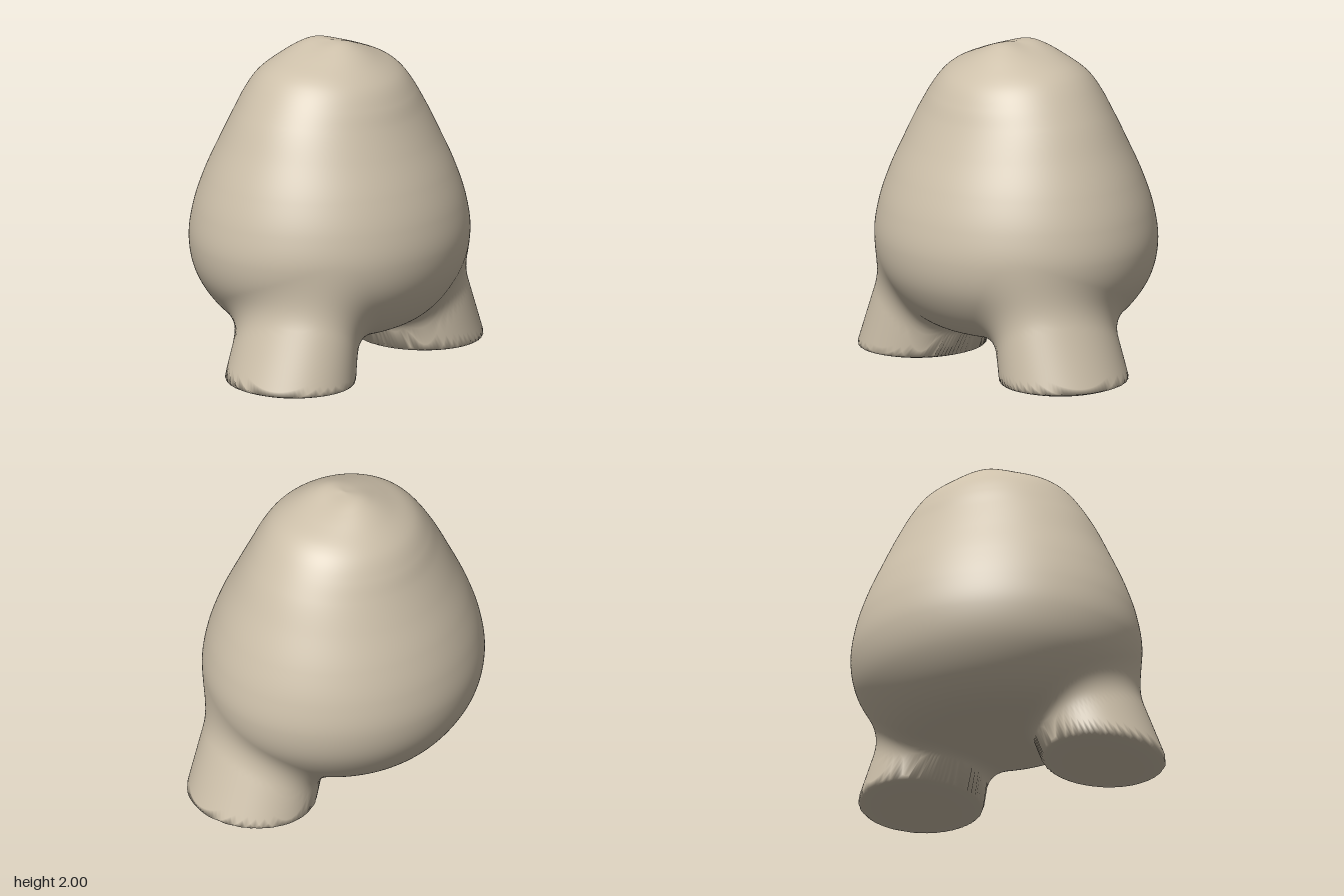
import * as THREE from 'three';

const CENTRE_Y = 1.25;
const STEPS = 720;

// Half outlines of the torso, [radius, height] from crown to belly
const SIDE_TO_SIDE = [[0, 2], [0.1, 1.98], [0.27, 1.92], [0.4, 1.86], [0.48, 1.79], [0.61, 1.6], [0.71, 1.4],
  [0.8, 1.2], [0.865, 1], [0.89, 0.8], [0.845, 0.6], [0.7, 0.4], [0.55, 0.3], [0.27, 0.245], [0, 0.23]];
const FRONT_TO_BACK = [[0, 2], [0.12, 1.997], [0.2, 1.965], [0.3, 1.9], [0.43, 1.79], [0.5, 1.68], [0.55, 1.57],
  [0.63, 1.4], [0.72, 1.2], [0.785, 1], [0.81, 0.8], [0.77, 0.6], [0.64, 0.4], [0.5, 0.3], [0.25, 0.245], [0, 0.23]];

// Smooth an outline and tabulate its distance from the centre by polar angle
function polarTable(outline) {
  const curve = new THREE.CatmullRomCurve3(outline.map(([r, y]) => new THREE.Vector3(r, y, 0)));
  const polar = curve.getPoints(400).map((p) => {
    const x = Math.max(p.x, 0);
    return [Math.atan2(x, p.y - CENTRE_Y), Math.hypot(x, p.y - CENTRE_Y)];
  });
  const table = [];
  let j = 0;
  for (let i = 0; i <= STEPS; i++) {
    const angle = (i / STEPS) * Math.PI;
    while (j < polar.length - 2 && polar[j + 1][0] < angle) j++;
    const [a0, r0] = polar[j];
    const [a1, r1] = polar[j + 1];
    const t = a1 > a0 ? Math.min(1, Math.max(0, (angle - a0) / (a1 - a0))) : 0;
    table.push(r0 + (r1 - r0) * t);
  }
  return table;
}

function lookUp(table, angle) {
  const s = (angle / Math.PI) * STEPS;
  const i = Math.min(STEPS - 1, Math.floor(s));
  return table[i] + (table[i + 1] - table[i]) * (s - i);
}

function smoothMin(a, b, k) {
  const h = Math.max(k - Math.abs(a - b), 0);
  return Math.min(a, b) - (h * h) / (4 * k);
}

const smoothMax = (a, b, k) => -smoothMin(-a, -b, k);

const wide = polarTable(SIDE_TO_SIDE);
const deep = polarTable(FRONT_TO_BACK);

// Torso: egg with an oval plan
function torso(x, y, z) {
  const flat = Math.hypot(x, z);
  const angle = Math.atan2(flat, y - CENTRE_Y);
  const c = flat > 1e-9 ? x / flat : 1;
  const s = flat > 1e-9 ? z / flat : 0;
  const r = 1 / Math.hypot(c / lookUp(wide, angle), s / lookUp(deep, angle));
  return Math.hypot(flat, y - CENTRE_Y) - r;
}

// Leg: oval column leaning inward, with a slightly domed sole
function leg(x, y, z) {
  const h = y - 0.08;
  const rx = Math.max(0.365 - 0.13 * h, 0.1);
  const rz = Math.max(0.405 - 0.08 * h, 0.1);
  const rho = Math.hypot((x - 0.63 + 0.27 * h) / rx, (z - 0.185) / rz);
  const wall = (rho - 1) * 0.37;
  const sole = 0.065 * Math.min(rho, 1.5) ** 2 - y;
  return Math.max(smoothMax(wall, sole, 0.02), y - 0.75);
}

const field = (x, y, z) => smoothMin(torso(x, y, z), leg(Math.abs(x), y, z), 0.13);

// Pull each point of a sphere onto the blended torso and legs
function skinGeometry() {
  const geometry = new THREE.SphereGeometry(1, 256, 200);
  const pos = geometry.attributes.position;
  const nor = geometry.attributes.normal;
  const d = new THREE.Vector3();
  const n = new THREE.Vector3();
  const e = 0.006;
  for (let i = 0; i < pos.count; i++) {
    d.fromBufferAttribute(pos, i).normalize();
    const at = (r) => field(d.x * r, CENTRE_Y + d.y * r, d.z * r);
    let outer = 1.7;
    while (outer > 0.1 && at(outer - 0.03) > 0) outer -= 0.03;
    let inner = outer - 0.03;
    for (let k = 0; k < 14; k++) {
      const mid = (inner + outer) / 2;
      if (at(mid) > 0) outer = mid;
      else inner = mid;
    }
    const x = d.x * outer, y = CENTRE_Y + d.y * outer, z = d.z * outer;
    pos.setXYZ(i, x, y, z);
    n.set(
      field(x + e, y, z) - field(x - e, y, z),
      field(x, y + e, z) - field(x, y - e, z),
      field(x, y, z + e) - field(x, y, z - e)
    ).normalize();
    nor.setXYZ(i, n.x, n.y, n.z);
  }
  return geometry;
}

export function createModel() {
  const model = new THREE.Group();
  model.name = 'twoLeggedBody';

  const clay = new THREE.MeshStandardMaterial({ color: 0xcdc0aa });
  clay.name = 'warm beige';

  const skin = new THREE.Mesh(skinGeometry(), clay);
  skin.name = 'bodyWithLegs';
  model.add(skin);
  return model;
}
